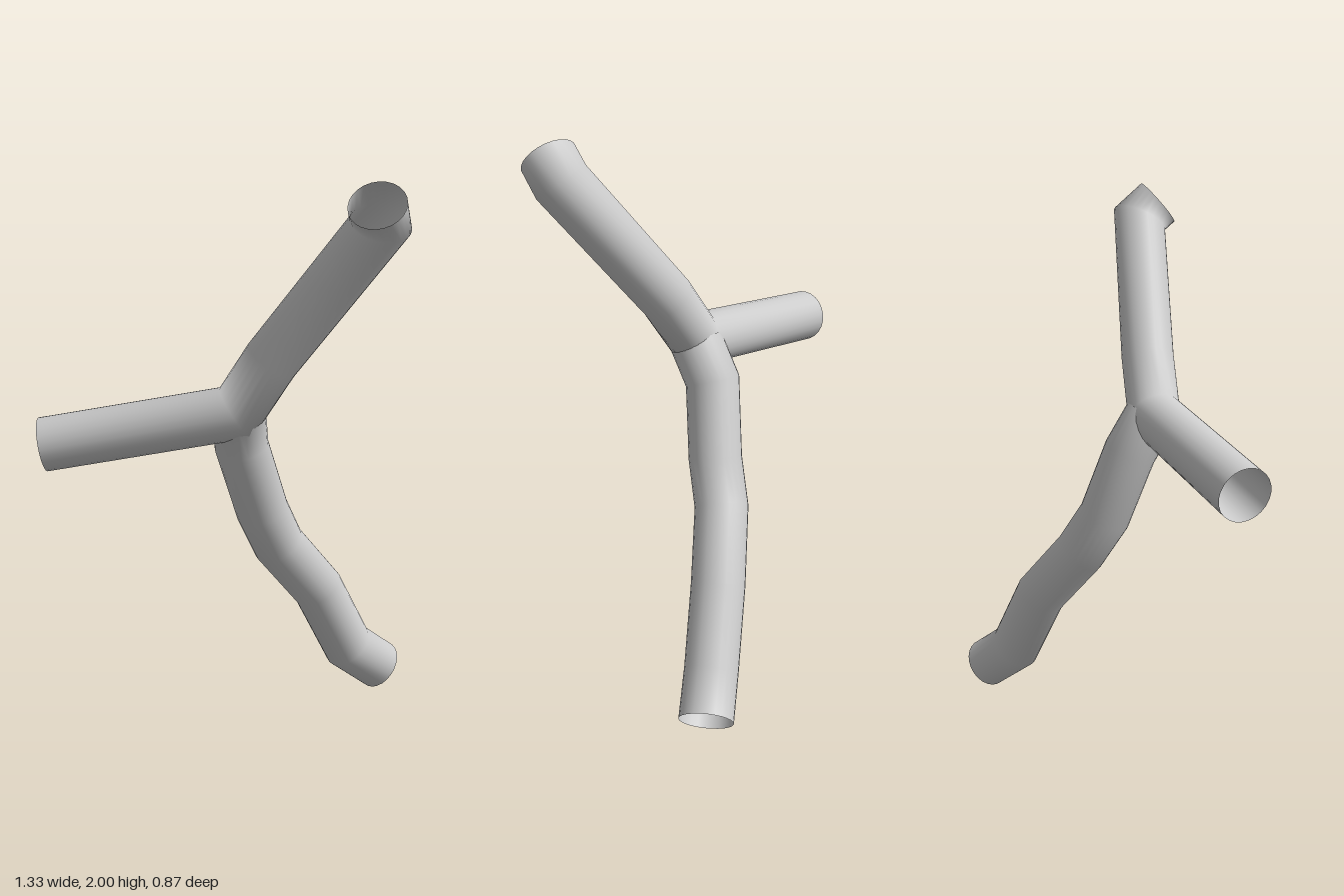
import * as THREE from 'three';

const RADIUS = 0.097;
const SIDES = 24;

// Open pipe swept along straight runs, with mitred joints at the bends
function pipe(name, path, material) {
  const pts = path.map((p) => new THREE.Vector3(...p));
  const last = pts.length - 1;
  const dirs = pts.slice(1).map((p, i) => p.clone().sub(pts[i]).normalize());
  const positions = [];
  const index = [];

  // First ring, square to the first run
  const u = new THREE.Vector3(0, 0, 1).cross(dirs[0]).normalize();
  const v = dirs[0].clone().cross(u);
  let ring = [];
  for (let j = 0; j < SIDES; j++) {
    const a = (j / SIDES) * Math.PI * 2;
    ring.push(pts[0].clone()
      .addScaledVector(u, Math.cos(a) * RADIUS)
      .addScaledVector(v, Math.sin(a) * RADIUS));
  }

  for (let i = 0; i <= last; i++) {
    if (i > 0) {
      // Slide the ring along its run onto the plane that halves the bend
      const d = dirs[i - 1];
      const n = i < last ? d.clone().add(dirs[i]).normalize() : d;
      ring = ring.map((p) =>
        p.clone().addScaledVector(d, pts[i].clone().sub(p).dot(n) / d.dot(n)));
    }
    ring.forEach((p) => positions.push(p.x, p.y, p.z));
    if (i === last) break;
    for (let j = 0; j < SIDES; j++) {
      const a = i * SIDES + j;
      const b = i * SIDES + (j + 1) % SIDES;
      index.push(a, b, a + SIDES, b, b + SIDES, a + SIDES);
    }
  }

  const geometry = new THREE.BufferGeometry();
  geometry.setAttribute('position', new THREE.Float32BufferAttribute(positions, 3));
  geometry.setIndex(index);
  geometry.computeVertexNormals();
  const mesh = new THREE.Mesh(geometry, material);
  mesh.name = name;
  return mesh;
}

export function createModel() {
  const group = new THREE.Group();
  group.name = 'branchingPipe';
  const material = new THREE.MeshStandardMaterial({ color: 0xcccccc, side: THREE.DoubleSide });

  // Side arm that bends up into the upper arm and its short angled mouth
  group.add(pipe('sideAndUpperPipe', [
    [-0.645, 1.085, 0.14],
    [0.04, 1.205, 0.14],
    [0.16, 1.395, 0.17],
    [0.515, 1.865, 0.3],
    [0.497, 1.928, 0.37],
  ], material));

  // Winding lower branch
  group.add(pipe('lowerPipe', [
    [0.047, 1.2, 0.13],
    [0.055, 1.07, 0.05],
    [0.13, 0.81, -0.02],
    [0.19, 0.66, -0.095],
    [0.345, 0.45, -0.2],
    [0.47, 0.19, -0.267],
    [0.6, 0.078, -0.345],
  ], material));

  return group;
}
